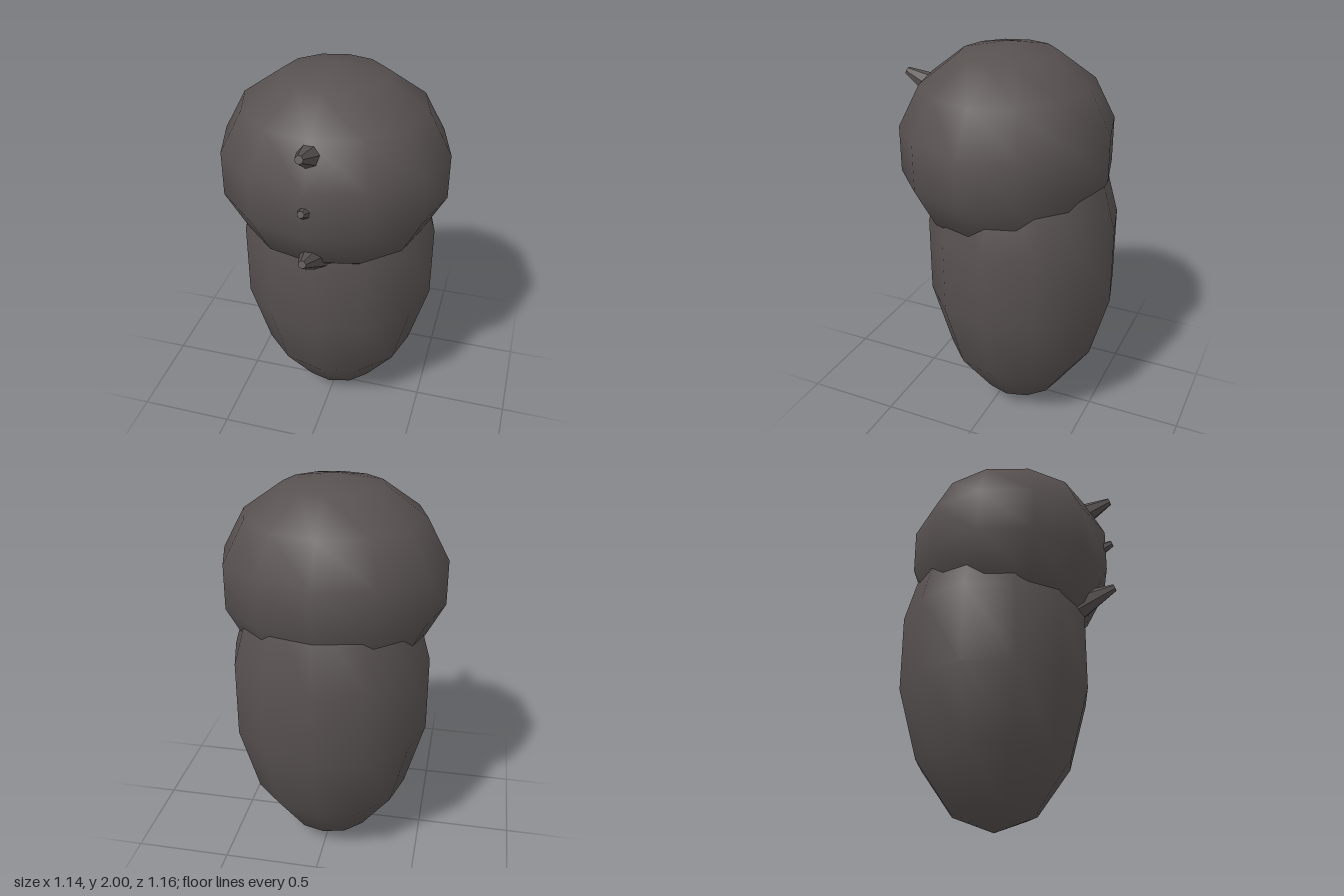
import * as THREE from 'three';

export function createModel() {
  const group = new THREE.Group();
  const smooth = new THREE.MeshStandardMaterial({ color: 0x575150 });
  const faceted = new THREE.MeshStandardMaterial({ color: 0x575150, flatShading: true });

  const addPart = (name, geometry, material) => {
    const mesh = new THREE.Mesh(geometry, material);
    mesh.name = name;
    group.add(mesh);
  };

  // Low-poly ellipsoid: 12 sides, 7 rings
  const ellipsoid = (rx, ry, rz, y, z) =>
    new THREE.SphereGeometry(1, 12, 7).scale(rx, ry, rz).translate(0, y, z);

  addPart('body', ellipsoid(0.523, 0.895, 0.503, 0.897, -0.09), smooth);
  addPart('head', ellipsoid(0.585, 0.52, 0.545, 1.48, 0), smooth);

  // Blunt spikes down the face, tilted upward, with their wide ends buried
  const tilt = THREE.MathUtils.degToRad(22);
  const spike = (name, tipY, tipZ, tipRadius, length) => {
    const baseRadius = tipRadius + length * 0.26;
    const geometry = new THREE.CylinderGeometry(tipRadius, baseRadius, length, 7)
      .translate(0, -length / 2, 0)
      .rotateX(Math.PI / 2 - tilt)
      .translate(0, tipY, tipZ);
    addPart(name, geometry, faceted);
  };
  spike('upperSpike', 1.79, 0.568, 0.02, 0.22);
  spike('middleSpike', 1.517, 0.568, 0.017, 0.12);
  spike('lowerSpike', 1.245, 0.568, 0.02, 0.26);

  return group;
}
